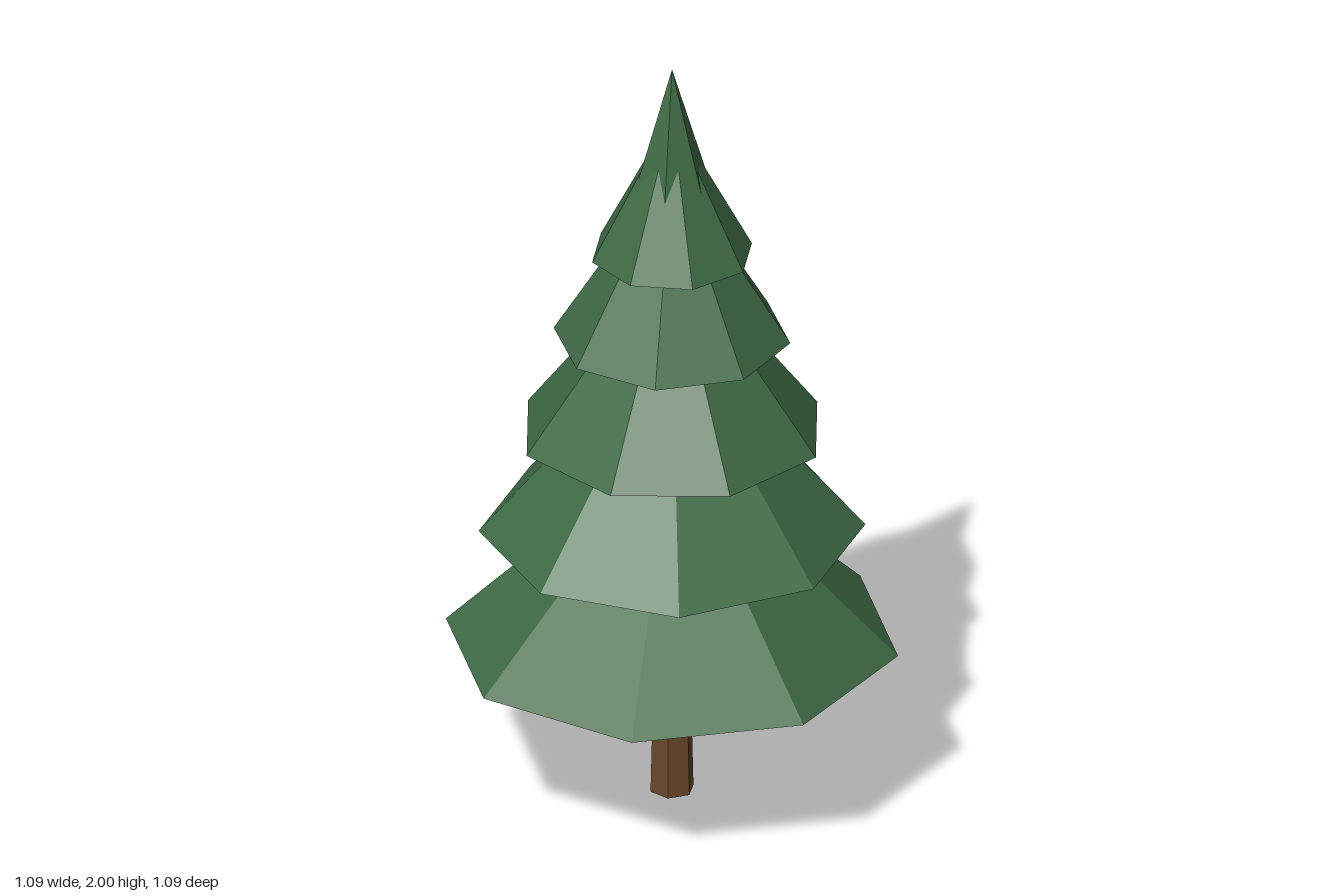
import * as THREE from 'three';

export function createModel() {
  const tree = new THREE.Group();
  tree.name = 'pineTree';

  const needles = new THREE.MeshStandardMaterial({ color: 0x3f6b45, flatShading: true });
  needles.name = 'needle green';
  const bark = new THREE.MeshStandardMaterial({ color: 0x6b4629, flatShading: true });
  bark.name = 'bark brown';

  // Faceted cone or frustum standing on y = base, turned about the vertical axis
  function addCone(name, material, sides, base, height, radius, turn, topRadius = 0) {
    const geometry = new THREE.CylinderGeometry(topRadius, radius, height, sides);
    geometry.translate(0, height / 2, 0);
    const mesh = new THREE.Mesh(geometry, material);
    mesh.name = name;
    mesh.position.y = base;
    mesh.rotation.y = THREE.MathUtils.degToRad(turn);
    tree.add(mesh);
  }

  // Six-sided tapering trunk, ending inside the lowest branches
  addCone('trunk', bark, 6, 0, 0.5, 0.056, 30, 0.044);

  // Branch tiers from the bottom up: base height, cone height, radius, turn
  const tiers = [
    [0.42, 0.55, 0.565, -14.6],
    [0.725, 0.55, 0.476, -2.4],
    [1.0, 0.51, 0.385, 17.3],
    [1.26, 0.47, 0.294, -12.6],
    [1.49, 0.385, 0.203, 10],
  ];
  tiers.forEach(([base, height, radius, turn], i) => {
    addCone(`branchTier${i + 1}`, needles, 8, base, height, radius, turn);
  });

  // Slim six-sided tip rising out of the top tier
  addCone('treeTip', needles, 6, 1.6, 0.4, 0.12, 30);

  return tree;
}
